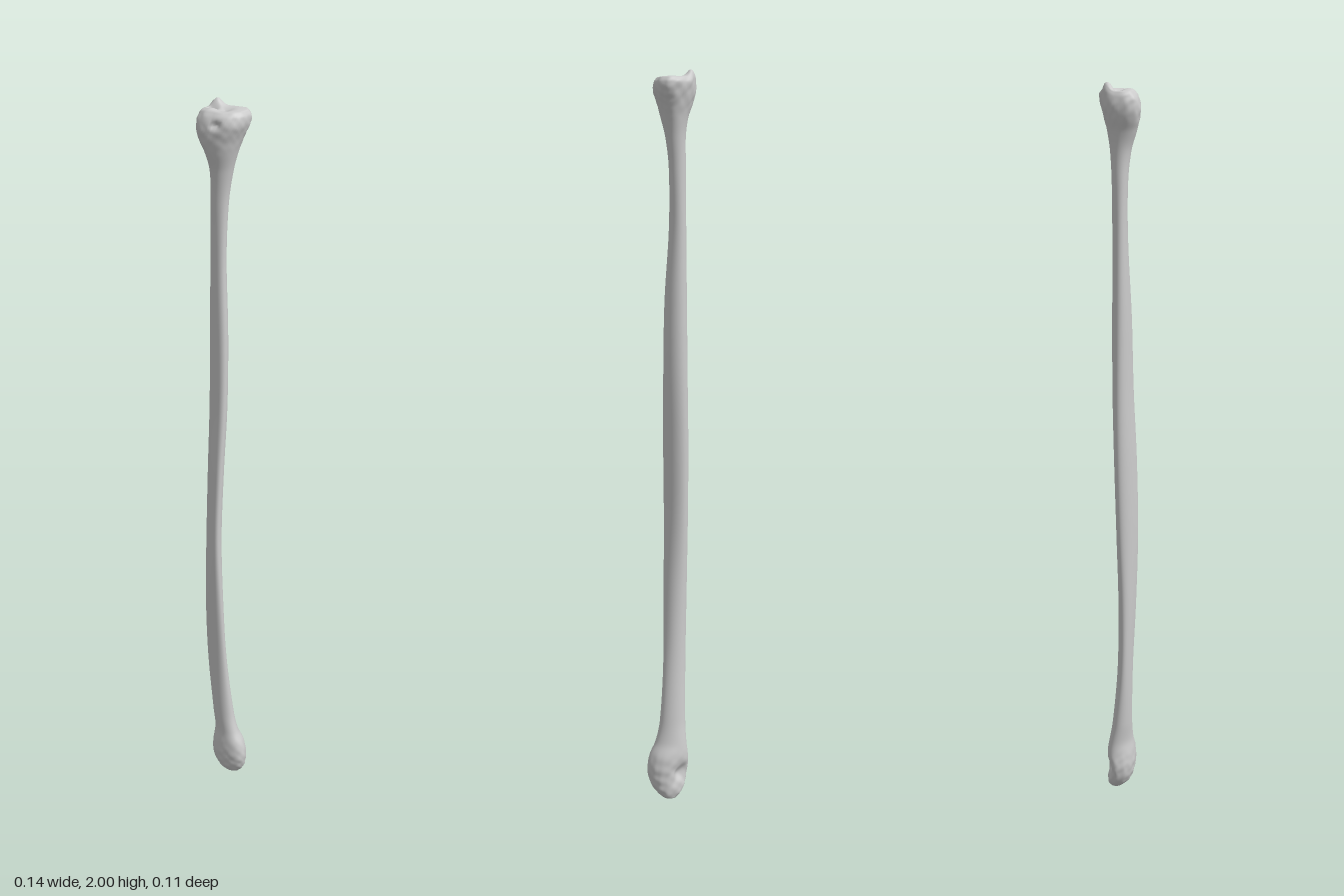
import * as THREE from 'three';

// Cross-sections from bottom to top: y, xMin, xMax, zMin, zMax, diagonal lean, squareness
const SECTIONS = [
  [0.004, 0.000, 0.036, -0.030, 0.008, 0.1, 0],
  [0.020, -0.018, 0.050, -0.035, 0.024, 0.15, 0.1],
  [0.045, -0.034, 0.062, -0.036, 0.038, 0.25, 0.1],
  [0.085, -0.043, 0.067, -0.037, 0.045, 0.3, 0.1],
  [0.125, -0.040, 0.059, -0.036, 0.043, 0.35, 0.1],
  [0.160, -0.037, 0.042, -0.031, 0.037, 0.4, 0],
  [0.220, -0.040, 0.028, -0.021, 0.034, 0.3, 0],
  [0.400, -0.050, 0.011, -0.006, 0.036, 0.3, 0],
  [0.600, -0.055, 0.003, -0.004, 0.044, 0.4, 0],
  [0.800, -0.054, -0.002, -0.010, 0.048, 0.5, 0],
  [1.000, -0.051, 0.003, -0.016, 0.044, 0.5, 0],
  [1.200, -0.046, 0.010, -0.020, 0.035, 0.4, 0],
  [1.400, -0.044, 0.010, -0.020, 0.030, 0.3, 0],
  [1.600, -0.042, 0.002, -0.019, 0.021, 0.15, 0],
  [1.750, -0.041, 0.006, -0.021, 0.021, 0, 0],
  [1.830, -0.041, 0.017, -0.026, 0.029, -0.1, 0],
  [1.880, -0.050, 0.029, -0.034, 0.043, -0.2, 0.1],
  [1.915, -0.064, 0.041, -0.043, 0.051, -0.25, 0.15],
  [1.945, -0.069, 0.053, -0.051, 0.053, -0.25, 0.2],
  [1.968, -0.066, 0.055, -0.054, 0.046, -0.25, 0.2],
  [1.980, -0.060, 0.047, -0.047, 0.036, -0.25, 0.2],
];
const SIDES = 64;

// Smooth interpolation of all section values at height y
function sectionAt(y) {
  let i = 0;
  while (i < SECTIONS.length - 2 && y > SECTIONS[i + 1][0]) i++;
  const a = SECTIONS[i], b = SECTIONS[i + 1];
  const before = SECTIONS[Math.max(i - 1, 0)], after = SECTIONS[Math.min(i + 2, SECTIONS.length - 1)];
  const h = b[0] - a[0], t = (y - a[0]) / h, t2 = t * t, t3 = t2 * t;
  return a.map((v, k) => {
    const m0 = (b[k] - before[k]) / (b[0] - before[0]) * h;
    const m1 = (after[k] - v) / (after[0] - a[0]) * h;
    return (2 * t3 - 3 * t2 + 1) * v + (t3 - 2 * t2 + t) * m0 + (3 * t2 - 2 * t3) * b[k] + (t3 - t2) * m1;
  });
}

const bump = (p, x, y, z, r) =>
  Math.exp(-((p.x - x) ** 2 + (p.y - y) ** 2 + (p.z - z) ** 2) / (r * r));

// Bone surface detail: pits, raised tip of the head and fine roughness
function sculpt(p) {
  const x = p.x, y = p.y, z = p.z;
  const top = THREE.MathUtils.smoothstep(y, 1.93, 1.98);
  const ends = Math.max(THREE.MathUtils.smoothstep(y, 1.86, 1.95), 1 - THREE.MathUtils.smoothstep(y, 0.06, 0.16));
  // fossa at the back of the lower end
  const fossa = bump(p, -0.012, 0.075, -0.036, 0.024);
  p.z += 0.016 * fossa;
  p.x += 0.006 * fossa;
  // small opening at the front of the head
  p.z -= 0.012 * bump({ x, y, z }, -0.01, 1.95, 0.052, 0.009);
  // uneven joint face with a raised styloid tip
  const flat = (cx, cz, r) => Math.exp(-((x - cx) ** 2 + (z - cz) ** 2) / (r * r));
  p.y += top * (0.020 * flat(-0.038, -0.032, 0.016) - 0.014 * flat(-0.038, -0.006, 0.012)
    - 0.010 * flat(-0.005, 0.0, 0.02) + 0.004 * flat(-0.03, 0.025, 0.018));
  const rough = Math.sin(x * 190 + y * 130) * Math.sin(z * 210 - y * 90 + 1);
  p.x += 0.0012 * ends * rough;
  p.z += 0.0012 * ends * Math.sin(x * 160 + 2) * Math.sin(y * 170 + z * 120);
  p.y = THREE.MathUtils.clamp(p.y, 0, 2);
}

function boneGeometry() {
  const rings = [];
  const low = SECTIONS[0][0], high = SECTIONS[SECTIONS.length - 1][0];
  // rounded lower tip, body, then domed upper joint face
  for (const s of [0.03, 0.4, 0.75]) rings.push([low - 0.004 * (1 - s * s), s]);
  const count = 200;
  for (let i = 0; i <= count; i++) {
    // rings gather towards both ends
    const u = i / count, e = u - 0.11 * Math.sin(2 * Math.PI * u);
    rings.push([low + (high - low) * e, 1]);
  }
  for (const s of [0.92, 0.84, 0.75, 0.65, 0.55, 0.45, 0.35, 0.25, 0.15, 0.03]) rings.push([high + 0.005 * (1 - s * s), s]);

  const positions = [], indices = [], p = new THREE.Vector3();
  for (const [y, scale] of rings) {
    const [, x0, x1, z0, z1, lean, square] = sectionAt(THREE.MathUtils.clamp(y, low, high));
    const round = (v) => Math.sign(v) * Math.abs(v) ** (1 - square);
    // shaft has three soft borders with shallow grooves between them
    const shaft = THREE.MathUtils.smoothstep(y, 0.2, 0.5) * (1 - THREE.MathUtils.smoothstep(y, 1.6, 1.85));
    for (let j = 0; j < SIDES; j++) {
      const t = j / SIDES * Math.PI * 2;
      const k = scale * (1 + shaft * 0.07 * Math.cos(3 * (t - 0.75)));
      p.set((x0 + x1) / 2 + (x1 - x0) / 2 * k * round(Math.cos(t)), y,
        (z0 + z1) / 2 + (z1 - z0) / 2 * k * round(Math.sin(t + lean)));
      sculpt(p);
      positions.push(p.x, p.y, p.z);
    }
  }
  for (let i = 0; i < rings.length - 1; i++) {
    for (let j = 0; j < SIDES; j++) {
      const a = i * SIDES + j, b = i * SIDES + (j + 1) % SIDES;
      indices.push(a, a + SIDES, b, b, a + SIDES, b + SIDES);
    }
  }
  // close both ends
  const last = (rings.length - 1) * SIDES;
  for (let j = 1; j < SIDES - 1; j++) {
    indices.push(0, j, j + 1);
    indices.push(last, last + j + 1, last + j);
  }
  const geometry = new THREE.BufferGeometry();
  geometry.setAttribute('position', new THREE.Float32BufferAttribute(positions, 3));
  geometry.setIndex(indices);
  geometry.computeVertexNormals();
  return geometry;
}

export function createModel() {
  const group = new THREE.Group();
  group.name = 'legBone';
  const bone = new THREE.Mesh(boneGeometry(), new THREE.MeshStandardMaterial({ color: 0xcccccc }));
  bone.name = 'fibula';
  group.add(bone);
  return group;
}
